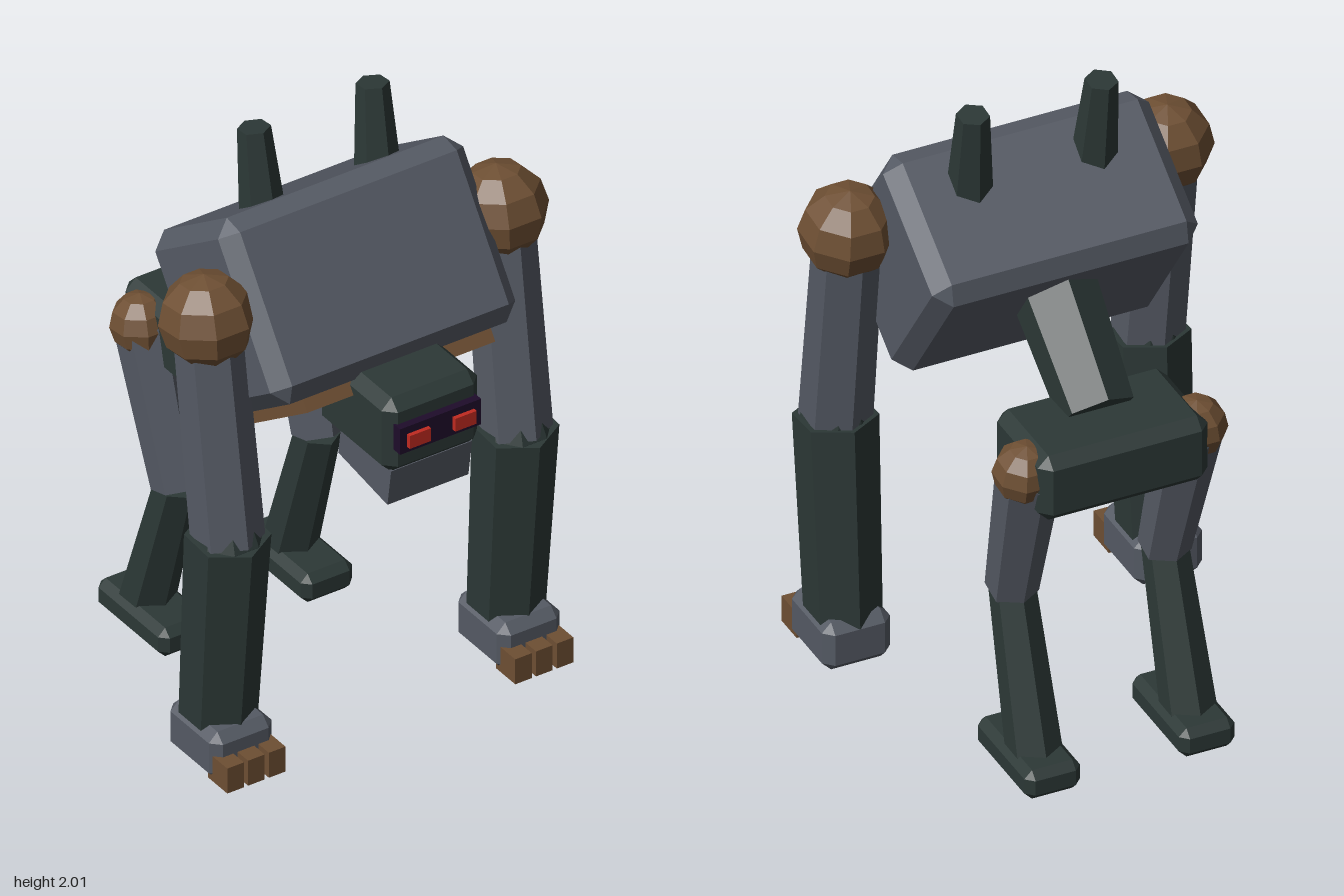
import * as THREE from 'three';
import { ConvexGeometry } from 'three/addons/geometries/ConvexGeometry.js';

const mat = (name, color) => {
  const m = new THREE.MeshStandardMaterial({ color });
  m.name = name;
  return m;
};

export function createModel() {
  const grey = mat('steel grey', 0x555a64);
  const green = mat('dark green', 0x2c3836);
  const brown = mat('bronze brown', 0x6e4f33);
  const visorColor = mat('visor purple', 0x1e0c2a);
  const red = mat('eye red', 0xc02a20);

  const body = new THREE.Group();
  body.name = 'body';

  const add = (name, geometry, material, x, y, z, parent = body) => {
    const mesh = new THREE.Mesh(geometry, material);
    mesh.name = name;
    mesh.position.set(x, y, z);
    parent.add(mesh);
    return mesh;
  };

  // faceted normals
  const flat = (geometry) => {
    const g = geometry.toNonIndexed();
    g.computeVertexNormals();
    return g;
  };

  // box with every edge cut at 45 degrees
  const chamferBox = (w, h, d, c) => {
    const points = [];
    for (const sx of [-1, 1]) for (const sy of [-1, 1]) for (const sz of [-1, 1]) {
      const x = w / 2, y = h / 2, z = d / 2;
      for (const [px, py, pz] of [[x, y - c, z - c], [x - c, y, z - c], [x - c, y - c, z]])
        points.push(new THREE.Vector3(sx * px, sy * py, sz * pz));
    }
    return new ConvexGeometry(points);
  };

  // six-sided limb between a top and a bottom point
  const limb = (name, material, top, bottom, rTop, rBottom) => {
    const a = new THREE.Vector3(...top), b = new THREE.Vector3(...bottom);
    const dir = a.clone().sub(b);
    const mid = a.clone().add(b).multiplyScalar(0.5);
    const geometry = flat(new THREE.CylinderGeometry(rTop, rBottom, dir.length(), 6));
    const mesh = add(name, geometry, material, mid.x, mid.y, mid.z);
    mesh.quaternion.setFromUnitVectors(new THREE.Vector3(0, 1, 0), dir.normalize());
    return mesh;
  };

  const ball = (name, material, r, x, y, z) => {
    const mesh = add(name, flat(new THREE.SphereGeometry(r, 8, 6)), material, x, y, z);
    mesh.rotation.set(-0.13, Math.PI / 8, 0);
    return mesh;
  };

  // torso leaning back, with the belly plate on its underside
  const torso = new THREE.Group();
  torso.name = 'torso';
  torso.position.set(0, 1.46, 0.075);
  torso.rotation.x = -0.61;
  body.add(torso);
  add('chest', chamferBox(0.86, 0.575, 0.5, 0.05), grey, 0, 0, 0, torso);
  add('bellyPlate', new THREE.BoxGeometry(0.66, 0.1, 0.38), brown, 0, -0.28, 0, torso);

  // head, jaw, visor and eyes
  add('head', chamferBox(0.335, 0.26, 0.38, 0.035), green, 0, 1.23, 0.41);
  add('jaw', new THREE.BoxGeometry(0.284, 0.13, 0.26), grey, 0, 1.065, 0.44).rotation.x = 0.15;
  add('visor', new THREE.BoxGeometry(0.284, 0.09, 0.04), visorColor, 0, 1.24, 0.605);
  for (const s of [-1, 1])
    add('eye', new THREE.BoxGeometry(0.075, 0.045, 0.02), red, s * 0.08, 1.237, 0.629);

  // pelvis and spine
  add('pelvis', chamferBox(0.55, 0.225, 0.34, 0.035), green, 0, 1.045, -0.475);
  limb('spine', green, [0, 1.46, -0.08], [0, 1.14, -0.44], 0.135, 0.115);

  for (const s of [-1, 1]) {
    const x = s * 0.505;

    // back exhaust stack
    limb('exhaust', green, [s * 0.208, 2, -0.04], [s * 0.2, 1.64, 0.005], 0.05, 0.074);

    // arm
    ball('shoulder', brown, 0.147, s * 0.513, 1.56, 0.17);
    limb('upperArm', grey, [s * 0.51, 1.54, 0.17], [x, 0.84, 0.265], 0.105, 0.11);
    ball('elbow', green, 0.11, x, 0.83, 0.265);
    limb('forearm', green, [x, 0.85, 0.265], [x, 0.18, 0.215], 0.128, 0.116);
    add('hand', chamferBox(0.22, 0.165, 0.26, 0.03), grey, x, 0.137, 0.23);
    for (const i of [-1, 0, 1])
      add('finger', new THREE.BoxGeometry(0.058, 0.088, 0.1), brown, x + i * 0.073, 0.102, 0.365);

    // leg
    ball('hip', brown, 0.098, s * 0.275, 1.06, -0.525);
    limb('thigh', grey, [s * 0.26, 1.06, -0.525], [s * 0.247, 0.56, -0.38], 0.1, 0.08);
    limb('shin', green, [s * 0.247, 0.57, -0.38], [s * 0.25, 0.06, -0.54], 0.07, 0.085);
    add('foot', chamferBox(0.18, 0.1, 0.36, 0.025), green, s * 0.25, 0.05, -0.5);
  }

  // whole figure turned toward its left
  body.rotation.y = THREE.MathUtils.degToRad(35);
  body.position.set(-0.037, 0, 0.026);

  const model = new THREE.Group();
  model.name = 'walkingRobot';
  model.add(body);
  return model;
}
